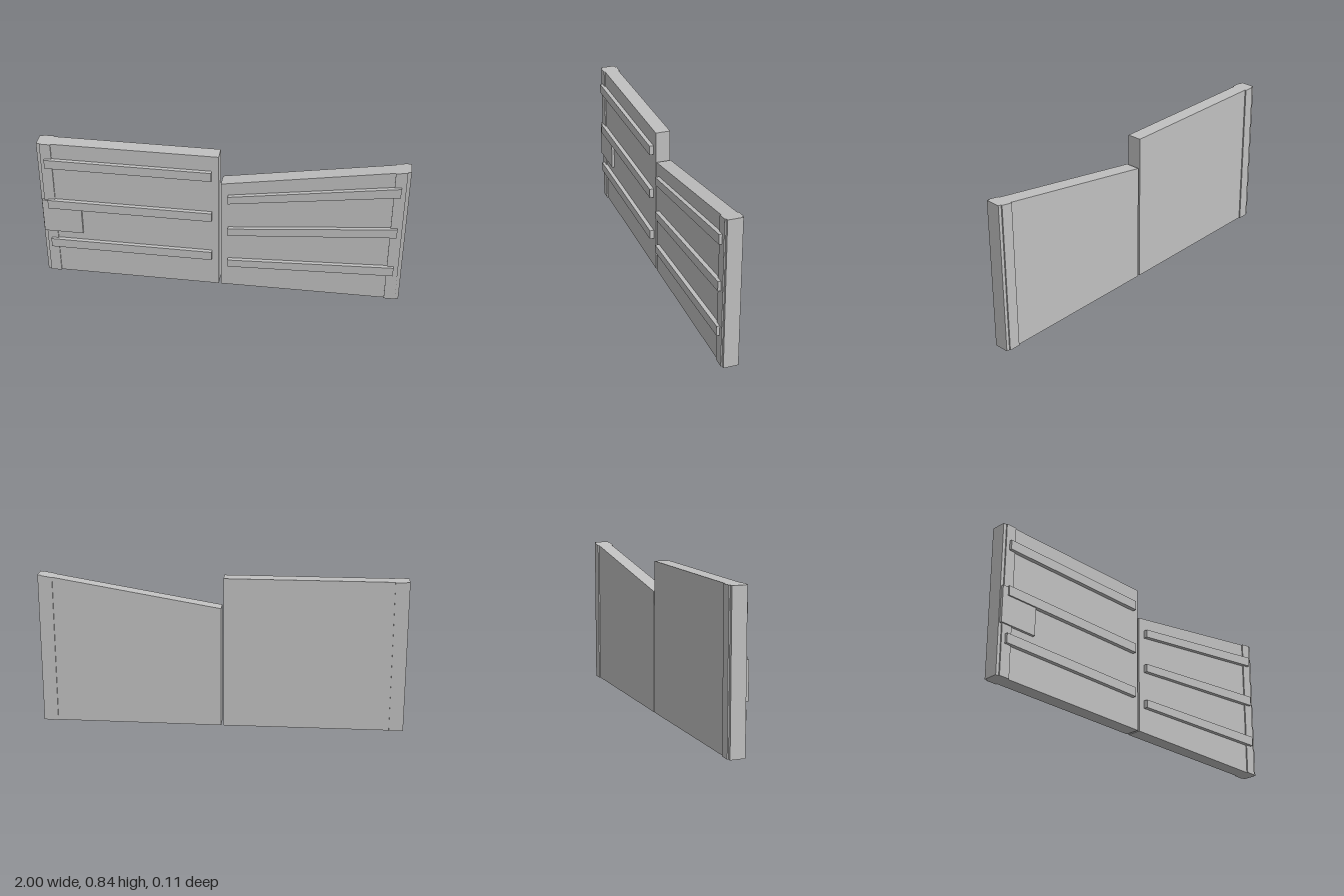
import * as THREE from 'three';

const steel = new THREE.MeshStandardMaterial({ color: 0xc0c0c0 });
steel.name = 'plain grey';

// Upright slab from a front outline, extruded between two depths.
function slab(name, points, zBack, zFront) {
  const shape = new THREE.Shape(points.map(([x, y]) => new THREE.Vector2(x, y)));
  const geometry = new THREE.ExtrudeGeometry(shape, { depth: zFront - zBack, bevelEnabled: false });
  geometry.translate(0, 0, zBack);
  const mesh = new THREE.Mesh(geometry, steel);
  mesh.name = name;
  return mesh;
}

// Four-cornered outline; bottom and top heights are given at each end.
const quad = (x0, x1, b0, b1, t0, t1) => [[x0, b0], [x1, b1], [x1, t1], [x0, t0]];

export function createModel() {
  const gate = new THREE.Group();
  gate.name = 'doubleGate';
  const back = -0.048, front = 0.033;

  // Straight leaf with a thicker hinge post and level rails
  const straight = new THREE.Group();
  straight.name = 'straightLeaf';
  straight.add(slab('straightPanel', quad(-1, -0.009, 0, 0, 0.844, 0.844), back, front));
  straight.add(slab('straightPost', quad(-0.982, -0.922, 0, 0, 0.844, 0.844), -0.055, 0.04));
  for (const y of [0.177, 0.438, 0.7]) {
    straight.add(slab('straightRail', quad(-0.96, -0.047, y, y, y + 0.053, y + 0.053), front - 0.005, 0.056));
  }
  straight.add(slab('latchPlate', quad(-0.994, -0.775, 0.281, 0.281, 0.485, 0.485), front - 0.005, 0.048));

  // Sloping leaf: its top climbs towards the outer post
  const sloping = new THREE.Group();
  sloping.name = 'slopingLeaf';
  const x0 = 0.003;
  const topAt = x => 0.676 + (0.844 - 0.676) * (x - x0) / (1 - x0);
  const bottomAt = x => 0.004 * (x - x0) / (1 - x0);
  const between = (a, b) => quad(a, b, bottomAt(a), bottomAt(b), topAt(a), topAt(b));
  sloping.add(slab('slopingPanel', between(x0, 1), back, front));
  sloping.add(slab('slopingPost', between(0.92, 0.982), -0.055, 0.04));
  for (const [inner, outer] of [[0.142, 0.175], [0.354, 0.433], [0.564, 0.693]]) {
    sloping.add(slab('slopingRail', quad(0.042, 0.957, inner, outer, inner + 0.045, outer + 0.055), front - 0.005, 0.056));
  }

  gate.add(straight, sloping);
  return gate;
}
